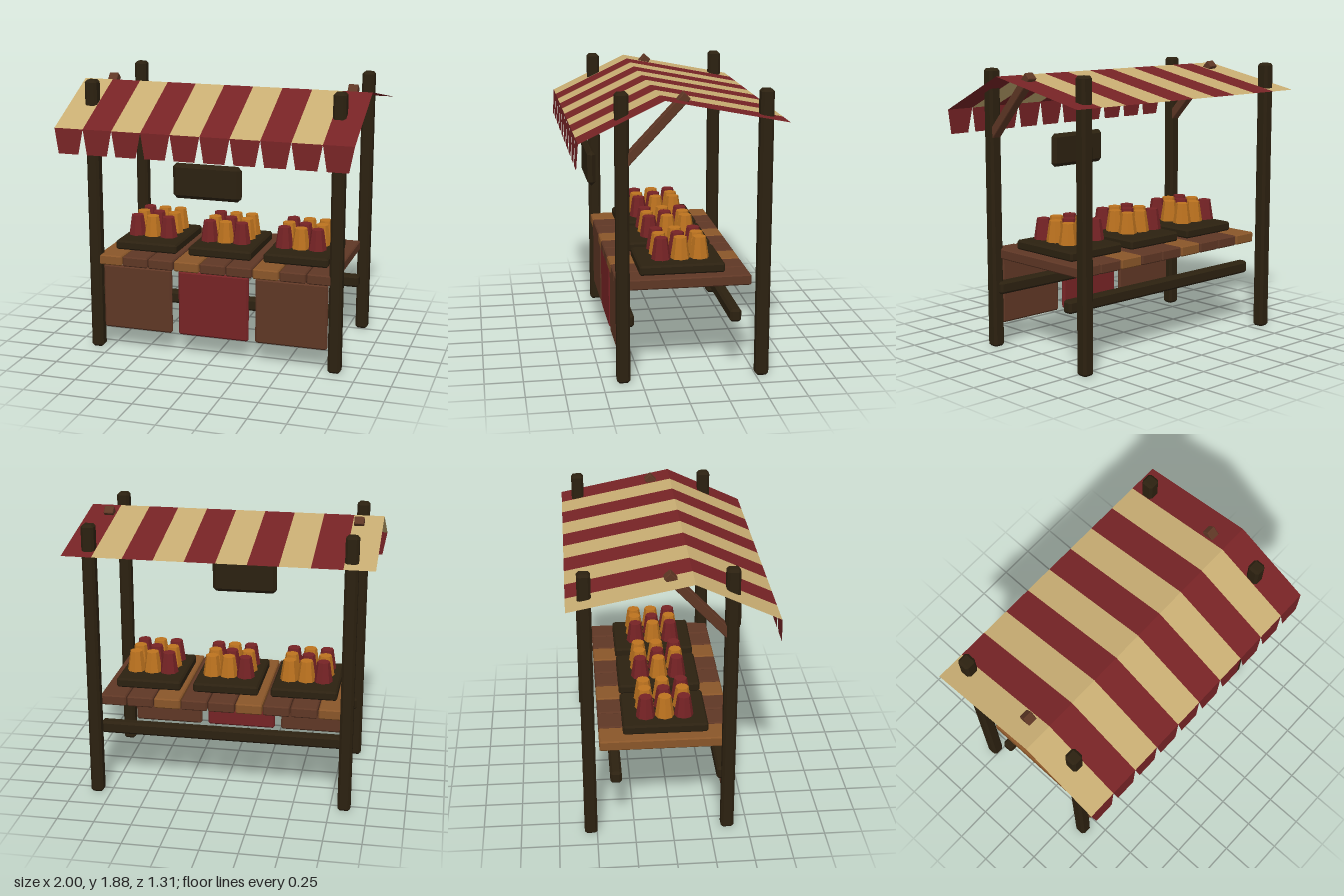
import * as THREE from 'three';
import { ConvexGeometry } from 'three/addons/geometries/ConvexGeometry.js';

function makeMaterial(name, color, doubleSided = false) {
  const m = new THREE.MeshStandardMaterial({ color, flatShading: true });
  if (doubleSided) m.side = THREE.DoubleSide;
  m.name = name;
  return m;
}

// Box with all edges cut by a bevel, centred on the origin
function bevelBox(w, h, d, b) {
  const points = [];
  const x = w / 2, y = h / 2, z = d / 2;
  for (const sx of [-1, 1]) for (const sy of [-1, 1]) for (const sz of [-1, 1]) {
    points.push(
      new THREE.Vector3(sx * x, sy * (y - b), sz * (z - b)),
      new THREE.Vector3(sx * (x - b), sy * y, sz * (z - b)),
      new THREE.Vector3(sx * (x - b), sy * (y - b), sz * z));
  }
  return new ConvexGeometry(points);
}

// Sheet of cloth from rows of [y, z, width], running from back to front
function clothSheet(rows) {
  const g = new THREE.PlaneGeometry(1, 1, 1, rows.length - 1);
  const p = g.attributes.position;
  rows.forEach(([y, z, width], r) => {
    p.setXYZ(r * 2, -width / 2, y, z);
    p.setXYZ(r * 2 + 1, width / 2, y, z);
  });
  const flat = g.toNonIndexed();
  flat.computeVertexNormals();
  return flat;
}

export function createModel() {
  const model = new THREE.Group();
  model.name = 'marketStall';

  const darkWood = makeMaterial('dark wood', 0x2c2110);
  const brownWood = makeMaterial('brown wood', 0x5f3725);
  const lightWood = makeMaterial('light wood', 0x8a5629);
  const redPaint = makeMaterial('red', 0x762325);
  const orange = makeMaterial('orange', 0xbd731f);
  const redCloth = makeMaterial('red cloth', 0x762325, true);
  const creamCloth = makeMaterial('cream cloth', 0xc8ad72, true);

  function add(name, geometry, material, x, y, z) {
    const mesh = new THREE.Mesh(geometry, material);
    mesh.name = name;
    mesh.position.set(x, y, z);
    model.add(mesh);
    return mesh;
  }

  // Four corner posts and the slanted braces under the canopy
  const post = bevelBox(0.085, 1.88, 0.085, 0.016);
  const brace = bevelBox(0.065, 0.59, 0.058, 0.004);
  for (const side of [-1, 1]) {
    add('frontPost', post, darkWood, side * 0.845, 0.94, 0.365);
    add('backPost', post, darkWood, side * 0.845, 0.94, -0.54);
    add('canopyBrace', brace, brownWood, side * 0.845, 1.638, 0.163).rotation.x = -0.755;
  }

  // Lower rails
  const rail = bevelBox(1.7, 0.085, 0.075, 0.015);
  add('frontRail', rail, darkWood, 0, 0.408, 0.33);
  add('backRail', rail, darkWood, 0, 0.408, -0.367);

  // Table planks, every third one lighter
  const plank = bevelBox(0.177, 0.07, 0.87, 0.008);
  for (let i = 0; i < 9; i++) {
    add('tablePlank', plank, i % 3 ? brownWood : lightWood, (i - 4) * 0.185, 0.64, -0.035);
  }

  // Front panels
  const panel = bevelBox(0.495, 0.455, 0.035, 0.012);
  for (const i of [-1, 0, 1]) {
    add('frontPanel', panel, i ? brownWood : redPaint, i * 0.544, 0.377, 0.368);
  }

  // Trays with three rows of goods each, front row first
  const tray = bevelBox(0.447, 0.065, 0.557, 0.012);
  const good = new THREE.CylinderGeometry(0.043, 0.064, 0.14, 8);
  const redPattern = [[1, 0, 1], [0, 1, 0], [1, 0, 0]];
  for (const t of [-1, 0, 1]) {
    add('tray', tray, darkWood, t * 0.533, 0.706, -0.035);
    redPattern.forEach((row, r) => row.forEach((isRed, c) => {
      add('good', good, isRed ? redPaint : orange,
        t * 0.533 + (c - 1) * 0.115, 0.825, -0.035 + (1 - r) * 0.125);
    }));
  }

  // Blank hanging board
  add('signBoard', bevelBox(0.467, 0.235, 0.055, 0.025), darkWood, 0, 1.265, 0.489);

  // Striped canopy with a tapered flap below each stripe
  const stripe = clothSheet([[1.692, -0.655, 0.2], [1.846, 0.12, 0.2], [1.597, 0.645, 0.2]]);
  const flap = clothSheet([[1.597, 0.645, 0.2], [1.43, 0.656, 0.14]]);
  for (let i = 0; i < 10; i++) {
    const x = -0.9 + i * 0.2;
    add('canopyStripe', stripe, i % 2 ? redCloth : creamCloth, x, 0, 0);
    add('canopyFlap', flap, redCloth, x, 0, 0);
  }

  return model;
}
